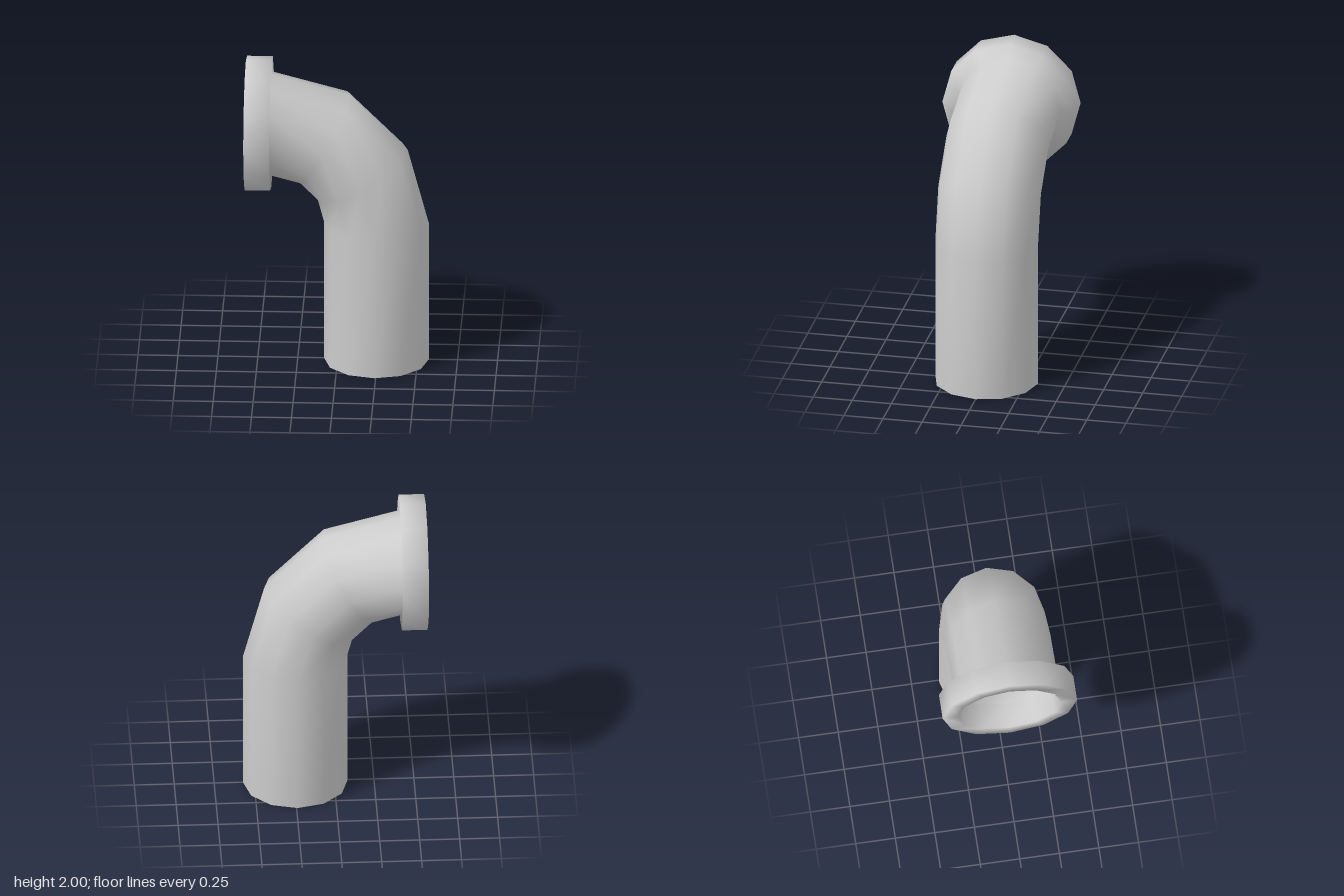
import * as THREE from 'three';

const SIDES = 12;
const PIPE_R = 0.328, FLANGE_R = 0.425, BEND_R = 0.657;
const PIVOT = { x: -0.415, y: 0.92 };

// One ring of points around the pipe axis: bend angle, radius, and shift along the axis
function ring(angle, radius, shift = 0) {
  const ux = Math.cos(angle), uy = Math.sin(angle);
  const cx = PIVOT.x + BEND_R * ux - shift * uy;
  const cy = PIVOT.y + BEND_R * uy + shift * ux;
  const points = [];
  for (let i = 0; i < SIDES; i++) {
    const a = (i / SIDES) * Math.PI * 2;
    const d = radius * Math.cos(a);
    points.push(cx + d * ux, cy + d * uy, radius * Math.sin(a));
  }
  return points;
}

// Triangles joining consecutive rings from first to last
function bands(first, last) {
  const index = [];
  for (let r = first; r < last; r++) {
    for (let i = 0; i < SIDES; i++) {
      const j = (i + 1) % SIDES;
      const a = r * SIDES + i, b = r * SIDES + j;
      const c = b + SIDES, d = a + SIDES;
      index.push(a, d, b, b, d, c);
    }
  }
  return index;
}

export function createModel() {
  const group = new THREE.Group();
  const material = new THREE.MeshStandardMaterial({ color: 0xcccccc, side: THREE.DoubleSide });
  const end = Math.PI / 2;

  const rings = [
    ring(0, PIPE_R, -PIVOT.y),                                  // open foot
    ...[0, 1, 2, 3].map((k) => ring((k * end) / 3, PIPE_R)),    // elbow
    ring(end, FLANGE_R),                                        // flange back
    ring(end, FLANGE_R, 0.16),                                  // flange rim
    ring(end, PIPE_R, 0.16),                                    // flange mouth
    ring(end, PIPE_R - 0.002, 0),                               // bore
  ];

  // Normals are shared so the pipe blends smoothly into the flange
  const shell = new THREE.BufferGeometry();
  shell.setAttribute('position', new THREE.Float32BufferAttribute(rings.flat(), 3));
  shell.setIndex(bands(0, rings.length - 1));
  shell.computeVertexNormals();

  const parts = { elbowPipe: [0, 4], flange: [4, rings.length - 1] };
  for (const [name, [first, last]] of Object.entries(parts)) {
    const geometry = shell.clone();
    geometry.setIndex(bands(first, last));
    const mesh = new THREE.Mesh(geometry, material);
    mesh.name = name;
    group.add(mesh);
  }
  return group;
}
